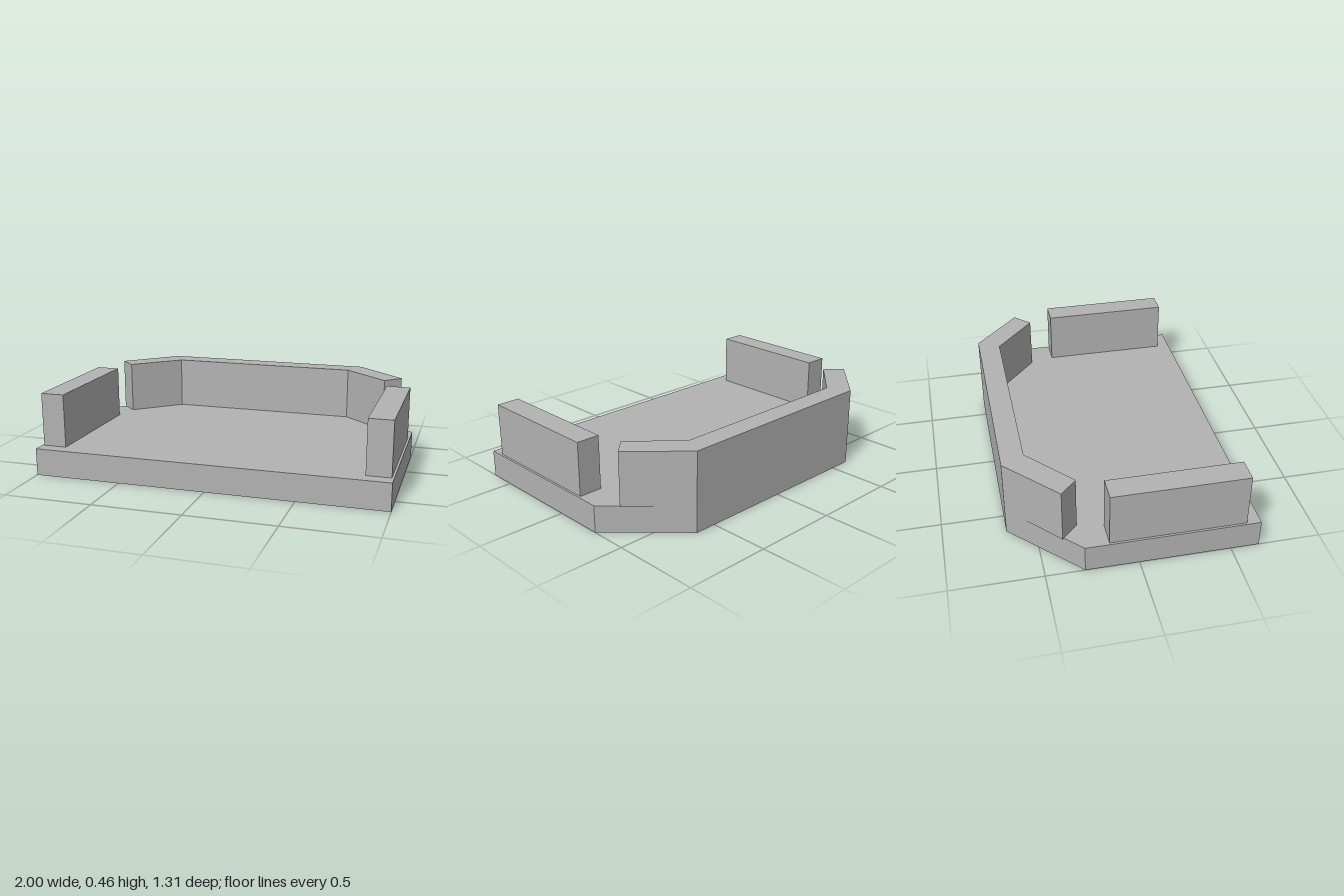
import * as THREE from 'three';

const BASE_HEIGHT = 0.155;
const WALL_HEIGHT = 0.305;

// Extrudes a plan outline of [x, z] points upwards from height y.
function slab(name, half, y, height, material) {
  // Mirror the right-hand half of the outline to close it
  const mirrored = half.map(([x, z]) => [-x, z]).reverse();
  const points = [...half, ...mirrored].map(([x, z]) => new THREE.Vector2(x, -z));
  const geometry = new THREE.ExtrudeGeometry(new THREE.Shape(points), {
    depth: height,
    bevelEnabled: false,
  });
  geometry.rotateX(-Math.PI / 2);
  const mesh = new THREE.Mesh(geometry, material);
  mesh.name = name;
  mesh.position.y = y;
  return mesh;
}

export function createModel() {
  const model = new THREE.Group();
  model.name = 'walledPlatform';
  const grey = new THREE.MeshStandardMaterial({ color: 0xb2b2b2 });
  grey.name = 'grey';

  // Base plate with chamfered rear corners
  model.add(slab('base', [[1, 0.656], [1, -0.29], [0.625, -0.656]], 0, BASE_HEIGHT, grey));

  // Rear wall wrapping round the chamfers
  model.add(slab('backWall',
    [[0.56, -0.53], [0.82, -0.3], [0.912, -0.39], [0.625, -0.656]],
    BASE_HEIGHT, WALL_HEIGHT, grey));

  // Straight walls along the two sides
  for (const side of [1, -1]) {
    const wall = new THREE.Mesh(new THREE.BoxGeometry(0.135, WALL_HEIGHT, 0.74), grey);
    wall.name = side > 0 ? 'leftWall' : 'rightWall';
    wall.position.set(side * 0.92, BASE_HEIGHT + WALL_HEIGHT / 2, 0.21);
    model.add(wall);
  }

  return model;
}
